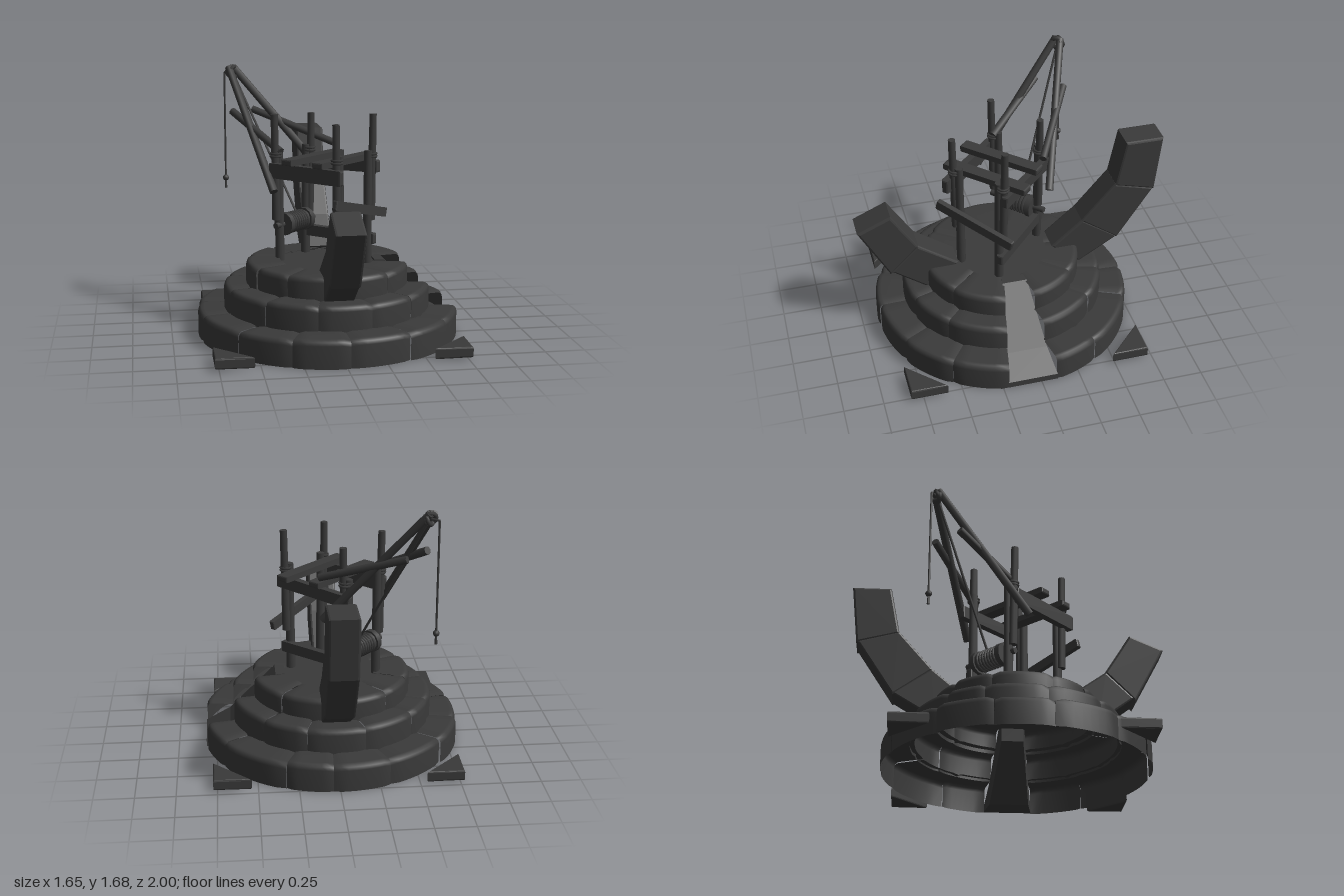
import * as THREE from 'three';

const mat = new THREE.MeshStandardMaterial({ color: 0x3a3a3a });
const shellMat = new THREE.MeshStandardMaterial({ color: 0x3a3a3a, side: THREE.DoubleSide });
const V = (p) => new THREE.Vector3(...p);
const CZ = 0.057; // centre of the round base in z

let seed = 7;
const rnd = () => (seed = (seed * 16807) % 2147483647) / 2147483647;

function add(parent, name, geo, material = mat) {
  const mesh = new THREE.Mesh(geo, material);
  mesh.name = name;
  parent.add(mesh);
  return mesh;
}

// Bevelled slab: outline in XY, thickness along z from 0 to h
function slab(points, h, bevel) {
  const shape = new THREE.Shape(points.map((p) => new THREE.Vector2(p[0], p[1])));
  const geo = new THREE.ExtrudeGeometry(shape, {
    depth: h - 2 * bevel, bevelSize: bevel, bevelOffset: -bevel,
    bevelThickness: bevel, bevelSegments: 2,
  });
  return geo.translate(0, 0, bevel);
}

// Round pole from a to b
function pole(parent, name, a, b, r, r2 = r, sides = 8) {
  const A = V(a), B = V(b), d = B.clone().sub(A);
  const mesh = add(parent, name, new THREE.CylinderGeometry(r2, r, d.length(), sides));
  mesh.position.copy(A).add(B).multiplyScalar(0.5);
  mesh.quaternion.setFromUnitVectors(new THREE.Vector3(0, 1, 0), d.normalize());
  return mesh;
}

// Rough-hewn plank from a to b, with rounded long edges
function plank(parent, name, a, b, w, h) {
  const A = V(a), B = V(b), len = A.distanceTo(B), x = w / 2, y = h / 2;
  const geo = slab([[-x, -y], [x, -y], [x, y], [-x, y]], len, Math.min(w, h) * 0.25);
  const mesh = add(parent, name, geo.translate(0, 0, -len / 2));
  mesh.position.copy(A).add(B).multiplyScalar(0.5);
  mesh.lookAt(B);
  return mesh;
}

// Rope wound around a pole
function lashing(parent, p, r) {
  for (const dy of [-0.009, 0.009]) {
    const t = add(parent, 'lashing', new THREE.TorusGeometry(r, 0.008, 5, 10));
    t.rotation.x = Math.PI / 2;
    t.position.set(p[0], p[1] + dy, p[2]);
  }
}

// Ring of stones, hollow underneath and open where the ramp passes
function stoneRing(parent, name, inner, outer, y0, y1, count) {
  const gap = 0.19, span = (Math.PI * 2 - gap * 2) / count, cols = 8;
  const cuts = [...Array(count + 1)].map((_, i) =>
    Math.PI / 2 + gap + i * span + (i % count ? (rnd() - 0.5) * span * 0.35 : 0));
  for (let i = 0; i < count; i++) {
    const r = outer - rnd() * 0.015, top = y1 - rnd() * 0.01;
    const profile = [[r, y0], [r, top - 0.035], [r - 0.006, top - 0.014], [r - 0.02, top - 0.002],
      [r - 0.04, top], [inner, top]].map((p) => new THREE.Vector2(...p));
    const geo = new THREE.LatheGeometry(profile, cols, cuts[i], cuts[i + 1] - cuts[i]);
    const pos = geo.attributes.position;
    // sink both end columns to mark the joint
    for (const c of [0, cols]) for (let j = 0; j < profile.length; j++) {
      const k = c * profile.length + j, s = 1 - 0.01 / outer;
      pos.setXYZ(k, pos.getX(k) * s, pos.getY(k) - (j ? 0.01 : 0), pos.getZ(k) * s);
    }
    geo.computeVertexNormals();
    add(parent, name, geo, shellMat).position.z = CZ;
  }
}

// Curved claw made of stone blocks, outlines in (z, y)
function stoneClaw(parent, name, blocks) {
  const claw = new THREE.Group();
  claw.name = name;
  blocks.forEach((pts) => add(claw, 'clawBlock',
    slab(pts, 0.187, 0.014).translate(0, 0, -0.0935).rotateY(-Math.PI / 2)));
  parent.add(claw);
}

export function createModel() {
  const model = new THREE.Group();
  const base = new THREE.Group();
  base.name = 'steppedBase';
  model.add(base);

  // Three steps and the floor
  stoneRing(base, 'lowerStepStone', 0.63, 0.845, 0.005, 0.185, 13);
  stoneRing(base, 'middleStepStone', 0.47, 0.668, 0.165, 0.34, 11);
  stoneRing(base, 'upperStepStone', 0.3, 0.522, 0.315, 0.477, 9);
  add(base, 'floor', new THREE.CylinderGeometry(0.33, 0.33, 0.04, 32)).position.set(0, 0.437, CZ);

  // Ramp: a wedge widening outwards
  const ramp = slab([[0.3, 0.33], [0.64, 0.01], [0.82, 0.01], [0.82, 0.05], [0.66, 0.15], [0.36, 0.47], [0.3, 0.47]], 1, 0);
  const rp = ramp.attributes.position;
  for (let i = 0; i < rp.count; i++) rp.setZ(i, (rp.getZ(i) - 0.5) * (0.04 + rp.getX(i) * 0.34));
  ramp.computeVertexNormals();
  add(base, 'ramp', ramp).position.z = CZ;

  // Corner stones
  for (const sx of [-1, 1]) for (const [z, s] of [[-0.72, 1], [0.83, -1]]) {
    const pts = [[sx * 0.775, -z], [sx * 0.54, -z], [sx * 0.775, -z - s * 0.235]];
    if (sx * s > 0) pts.reverse();
    add(model, 'cornerStone', slab(pts, 0.068, 0.01).rotateX(-Math.PI / 2)).position.y = 0.017;
  }

  // Front and back claws
  stoneClaw(model, 'frontClaw', [
    [[1.0, 0.83], [0.785, 0.925], [0.617, 0.66], [0.806, 0.47]],
    [[0.624, 0.666], [0.36, 0.48], [0.57, 0.32], [0.8, 0.49]],
  ]);
  stoneClaw(model, 'backClaw', [
    [[-1.0, 1.215], [-0.96, 0.825], [-0.688, 0.895], [-0.75, 1.215]],
    [[-0.69, 0.91], [-0.955, 0.835], [-0.72, 0.47], [-0.468, 0.65]],
    [[-0.478, 0.66], [-0.725, 0.485], [-0.46, 0.32], [-0.27, 0.48]],
  ]);

  const crane = new THREE.Group();
  crane.name = 'crane';
  model.add(crane);

  // Four spliced posts: [foot x, foot z, top x, top z, top y]
  for (const [fx, fz, tx, tz, ty] of [
    [0.04, 0.33, 0.01, 0.365, 1.38], [-0.1, -0.22, -0.06, -0.22, 1.385],
    [0.25, 0.13, 0.29, 0.1, 1.41], [-0.295, -0.01, -0.33, 0.03, 1.41],
  ]) {
    pole(crane, 'lowerPost', [fx, 0.44, fz], [fx * 0.9 + tx * 0.1, 1.18, fz], 0.03, 0.026);
    pole(crane, 'upperPost', [fx * 0.3 + tx * 0.7, 0.73, fz * 0.3 + tz * 0.7], [tx, ty, tz], 0.027, 0.023);
    lashing(crane, [fx * 0.3 + tx * 0.7, 1.15, fz * 0.3 + tz * 0.7], 0.034);
  }

  // Side beams along the posts, deck planks laid across them, lower rails
  plank(crane, 'leftBeam', [-0.355, 1.055, 0.03], [0.04, 1.055, 0.425], 0.045, 0.095);
  plank(crane, 'rightBeam', [-0.1, 1.055, -0.3], [0.325, 1.075, 0.115], 0.045, 0.078);
  plank(crane, 'deckPlank', [-0.28, 1.13, 0.23], [0.12, 1.13, -0.17], 0.08, 0.04);
  plank(crane, 'deckPlank', [-0.11, 1.13, 0.38], [0.31, 1.13, -0.04], 0.08, 0.04);
  plank(crane, 'lowRail', [-0.13, 0.61, -0.25], [0.3, 0.61, 0.14], 0.045, 0.07);
  plank(crane, 'slantedPlank', [-0.015, 0.9, 0.465], [0.375, 0.77, 0.075], 0.035, 0.06);

  // Boom: two legs meeting at the tip, each held by a brace
  const tip = [-0.55, 1.635, -0.475];
  pole(crane, 'boomLeg', [-0.345, 0.93, 0.12], [-0.575, 1.665, -0.47], 0.027, 0.025);
  pole(crane, 'boomLeg', [0.07, 0.93, -0.25], [-0.545, 1.665, -0.49], 0.027, 0.025);
  pole(crane, 'boomBrace', [-0.29, 1.17, 0.03], [-0.565, 1.39, -0.33], 0.026);
  pole(crane, 'boomBrace', [0.085, 1.19, -0.2], [-0.42, 1.385, -0.48], 0.024);
  for (const turn of [-0.3, 0.1, 0.5]) {
    const wrap = add(crane, 'tipLashing', new THREE.TorusGeometry(0.037, 0.014, 6, 12));
    wrap.position.set(...tip);
    wrap.rotation.set(turn, turn + 0.4, 0);
  }

  // Winch between the two back posts
  const drum = new THREE.Group();
  drum.name = 'winch';
  const along = (t) => [-0.185 + t * 0.71, 0.69, -0.11 - t * 0.71];
  pole(drum, 'axle', along(-0.2), along(0.2), 0.02);
  pole(drum, 'drum', along(-0.11), along(0.11), 0.062, 0.062, 12);
  for (const t of [-0.105, 0.105]) pole(drum, 'drumRim', along(t - 0.018), along(t + 0.018), 0.075, 0.075, 12);
  for (let i = -3; i <= 3; i++) {
    const coil = add(drum, 'ropeCoil', new THREE.TorusGeometry(0.058, 0.012, 5, 14));
    coil.position.set(...along(i * 0.022));
    coil.rotation.y = Math.PI * 0.75;
  }
  crane.add(drum);

  // Hoisting rope with a knot at its end
  pole(crane, 'hoistRope', [-0.17, 0.74, -0.13], tip, 0.008, 0.008, 6);
  pole(crane, 'hangingRope', [-0.602, 0.85, -0.51], [-0.602, 1.63, -0.51], 0.007, 0.007, 6);
  pole(crane, 'ropeOverTip', tip, [-0.602, 1.63, -0.51], 0.008, 0.008, 6);
  add(crane, 'knot', new THREE.IcosahedronGeometry(0.021, 1)).position.set(-0.602, 0.92, -0.51);
  pole(crane, 'ropeEnd', [-0.602, 0.85, -0.51], [-0.602, 0.9, -0.51], 0.01, 0.007, 6);

  return model;
}
